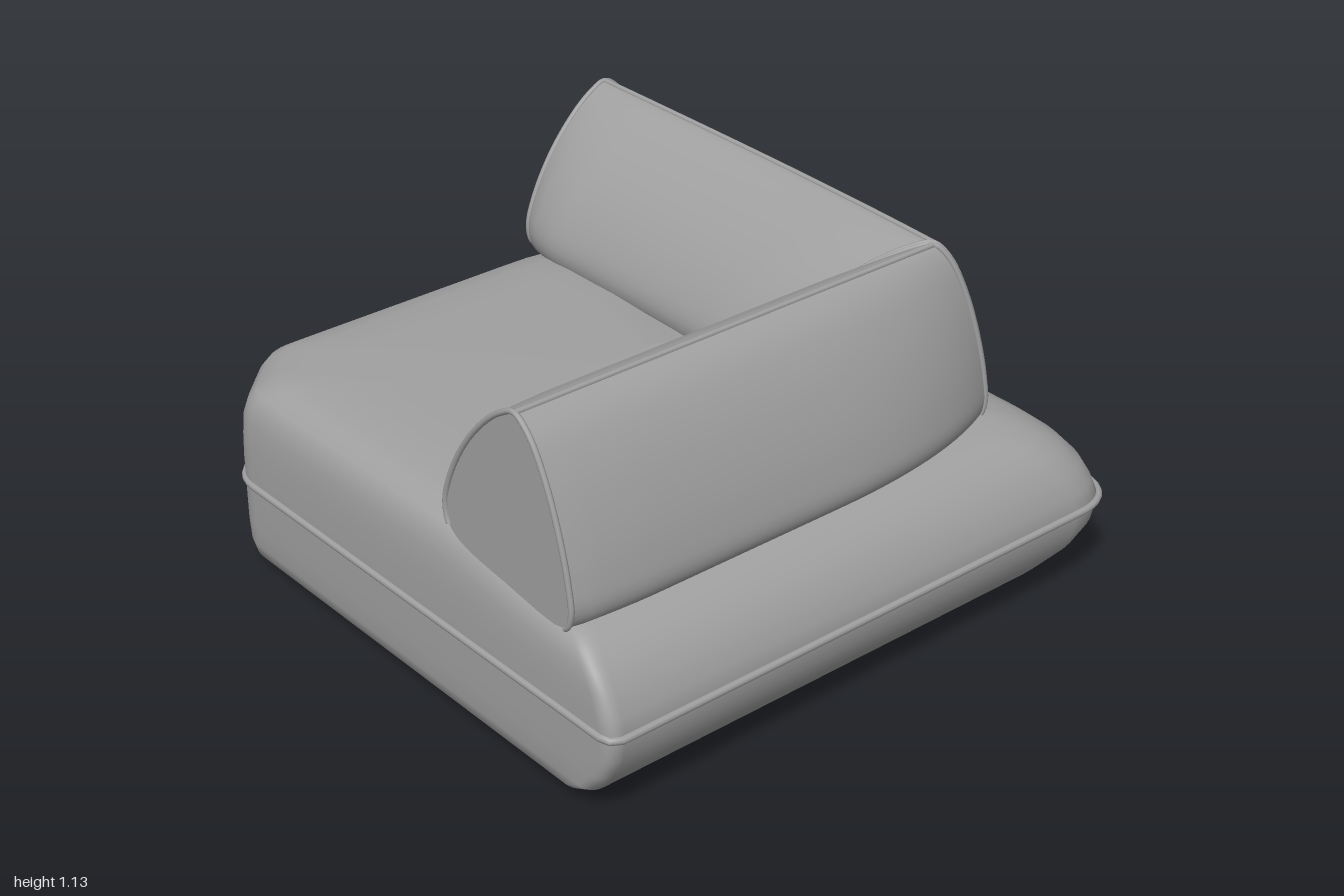
import * as THREE from 'three';

const V = (x, y, z) => new THREE.Vector3(x, y, z);
const lerp = THREE.MathUtils.lerp;
const smooth = THREE.MathUtils.smoothstep;

// Closed skin through equal-sized loops; the end caps have their own crisp edge.
function loft(rings) {
  const n = rings[0].length, pos = [], idx = [];
  const add = p => pos.push(p.x, p.y, p.z) / 3 - 1;
  rings.forEach(r => r.forEach(add));
  for (let k = 0; k < rings.length - 1; k++) {
    for (let i = 0; i < n; i++) {
      const j = (i + 1) % n, a = k * n + i, b = k * n + j;
      idx.push(a, b, b + n, a, b + n, a + n);
    }
  }
  [rings[0], rings[rings.length - 1]].forEach((ring, end) => {
    const centre = V(0, 0, 0);
    ring.forEach(p => centre.addScaledVector(p, 1 / n));
    const c = add(centre), first = pos.length / 3;
    ring.forEach(add);
    for (let i = 0; i < n; i++) {
      const a = first + i, b = first + (i + 1) % n;
      if (end) idx.push(c, a, b); else idx.push(c, b, a);
    }
  });
  // Turn every face outwards, using the sign of the enclosed volume.
  const at = i => V(pos[3 * i], pos[3 * i + 1], pos[3 * i + 2]);
  let volume = 0;
  for (let i = 0; i < idx.length; i += 3) {
    volume += at(idx[i]).dot(at(idx[i + 1]).cross(at(idx[i + 2])));
  }
  if (volume < 0) idx.reverse();
  const g = new THREE.BufferGeometry();
  g.setAttribute('position', new THREE.Float32BufferAttribute(pos, 3));
  g.setIndex(idx);
  g.computeVertexNormals();
  return g;
}

function piping(points, radius, closed = false) {
  const curve = new THREE.CatmullRomCurve3(points, closed, 'centripetal');
  return new THREE.TubeGeometry(curve, points.length * 2, radius, 8, closed);
}

// Plan of the base: a insets the left and front, b insets the right and back.
function outline(a, b) {
  const H = 0.99, x0 = -H + a, x1 = H - b, z0 = -H + b, z1 = H - a;
  const cut = 0.2 * (1 - a), size = x1 - x0;
  const soft = Math.min(0.05, size * 0.2);
  const corners = [
    [x1, z0, Math.min(0.17 + 0.25 * b, size * 0.35)],
    [x1, z1, soft],
    [x0 + cut, z1, Math.min(0.06, cut * 0.4)],
    [x0, z1 - cut, Math.min(0.06, cut * 0.4)],
    [x0, z0, soft],
  ].map(([x, z, r]) => ({ p: V(x, 0, z), r }));
  const toward = (c, d) => c.p.clone().add(d.p.clone().sub(c.p).setLength(c.r));
  const pts = [];
  corners.forEach((c, i) => {
    const prev = corners[(i + 4) % 5], next = corners[(i + 1) % 5];
    const out = toward(c, next);
    const bend = new THREE.QuadraticBezierCurve3(toward(c, prev), c.p, out);
    pts.push(...bend.getPoints(8));
    const goal = toward(next, c);
    for (let k = 1; k < 16; k++) pts.push(out.clone().lerp(goal, k / 16));
  });
  return pts;
}

// Each level: height and inset on the upright sides, then on the bulging sides.
const LEVELS = [
  [0.022, 0.3, 0.022, 0.5], [0.022, 0.08, 0.022, 0.32], [0.028, 0.04, 0.03, 0.25],
  [0.05, 0.012, 0.05, 0.17], [0.09, 0.003, 0.09, 0.1], [0.16, 0, 0.16, 0.045],
  [0.23, 0, 0.23, 0.015], [0.305, 0, 0.305, 0.005], [0.38, 0, 0.36, 0.02],
  [0.45, 0.002, 0.42, 0.045], [0.52, 0.007, 0.475, 0.085], [0.57, 0.02, 0.515, 0.13],
  [0.605, 0.042, 0.54, 0.175], [0.632, 0.085, 0.552, 0.22], [0.648, 0.16, 0.556, 0.28],
  [0.657, 0.28, 0.56, 0.4], [0.66, 0.5, 0.56, 0.6], [0.662, 0.85, 0.56, 0.85],
];

// Half-arch bolster section: across, height.
const SECTION = [
  [0.26, 0.6], [0.205, 0.635], [0.19, 0.7], [0.225, 0.8], [0.31, 0.93],
  [0.42, 1.04], [0.51, 1.1], [0.57, 1.12], [0.64, 1.075], [0.71, 0.97],
  [0.77, 0.83], [0.81, 0.69], [0.82, 0.6], [0.79, 0.55], [0.5, 0.565],
];
const RIDGE = 28;

// One bolster from its free end to the mitre; place() maps across, height, along.
function bolster(name, vEnd, shift, place, material) {
  const curve = new THREE.CatmullRomCurve3(
    SECTION.map(([u, y]) => V(u, y, 0)), true, 'centripetal');
  const section = Array.from({ length: 60 }, (_, i) => curve.getPoint(i / 60));
  const rings = [];
  for (let k = 0; k <= 32; k++) {
    const t = k / 32;
    const ease = Math.sqrt(Math.min(1, t / 0.14));
    const outer = lerp(0.89, 1, ease) - 0.5 * Math.pow(Math.max(0, (t - 0.55) / 0.45), 2);
    const inner = lerp(0.86, 1, ease) - 0.13 * Math.pow(Math.max(0, (t - 0.8) / 0.2), 2);
    rings.push(section.map(p => {
      const d = p.x - 0.57;
      const u = 0.57 + d * (d > 0 ? outer : inner) + shift * (1 - t * t * t);
      return place(u, p.y, lerp(vEnd, -u + 0.01, t));
    }));
  }
  const group = new THREE.Group();
  group.name = name;
  const part = (label, g) => {
    const m = new THREE.Mesh(g, material);
    m.name = label;
    group.add(m);
  };
  part('cushion', loft(rings));
  part('ridgePiping', piping(rings.map(r => r[RIDGE]), 0.009));
  part('endPiping', piping(rings[0].slice(4, 53), 0.009));
  part('mitrePiping', piping(rings[32].slice(4, 53), 0.009));
  return group;
}

export function createModel() {
  const model = new THREE.Group();
  model.name = 'cornerSofaModule';
  const fabric = new THREE.MeshStandardMaterial({ color: 0xa0a0a0 });
  fabric.name = 'grey fabric';
  const add = (name, g) => {
    const m = new THREE.Mesh(g, fabric);
    m.name = name;
    model.add(m);
    return m;
  };

  // Seat base, lower along the right and back where it carries the bolsters
  const rings = LEVELS.map(([yFlat, a, yBulge, b]) => outline(a, b).map(p => {
    const w = smooth(Math.max(p.x, -p.z), 0.15, 0.85);
    return V(p.x, lerp(yFlat, yBulge, w), p.z);
  }));
  add('seatBase', loft(rings));
  const seam = outline(0, 0.003).map(p => V(p.x, 0.306, p.z));
  add('seatPiping', piping(seam, 0.012, true));

  // Mitred bolsters
  model.add(bolster('armBolster', 0.965, 0, (u, y, v) => V(u, y, v), fabric));
  model.add(bolster('backBolster', 0.985, 0.03, (u, y, v) => V(-v, y, -u), fabric));

  // Feet
  const foot = new THREE.CylinderGeometry(0.042, 0.042, 0.03, 24);
  [[0.7, -0.7], [0.7, 0.89], [-0.89, -0.7], [-0.89, 0.57], [-0.57, 0.89]].forEach(([x, z]) => {
    add('foot', foot).position.set(x, 0.015, z);
  });
  return model;
}
